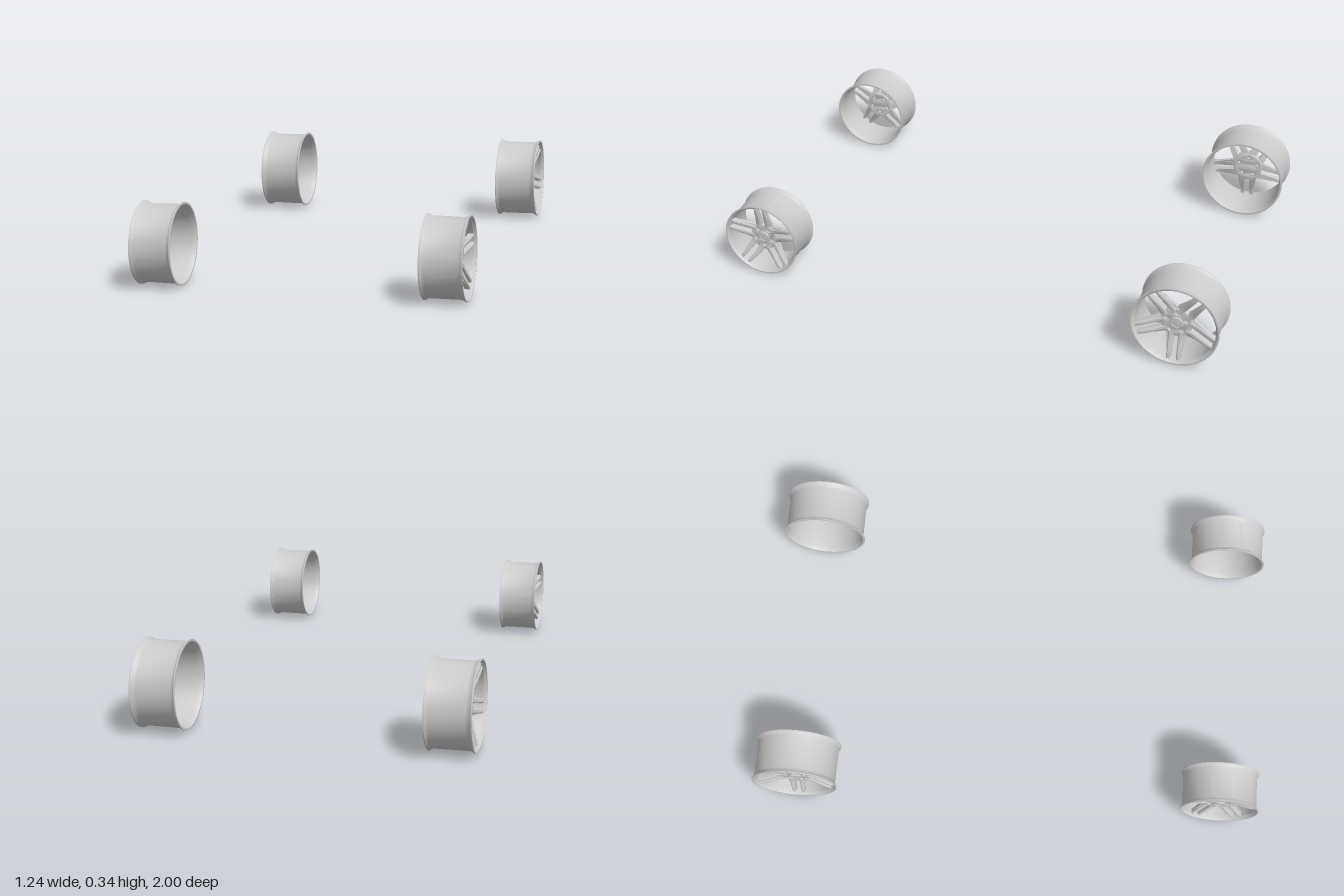
import * as THREE from 'three';
import { toCreasedNormals } from 'three/addons/utils/BufferGeometryUtils.js';

const material = new THREE.MeshStandardMaterial({ color: 0xcccccc });
const lerp = THREE.MathUtils.lerp;

function part(name, geometry, parent) {
  const mesh = new THREE.Mesh(geometry, material);
  mesh.name = name;
  parent.add(mesh);
  return mesh;
}

// Tapered, dished bar along +x; each option is [hub value, rim value]
function barGeometry({ reach, width, offset, top, depth }) {
  const geometry = new THREE.BoxGeometry(1, 1, 1, 12, 4, 1);
  const pos = geometry.attributes.position;
  for (let i = 0; i < pos.count; i++) {
    const u = pos.getX(i) + 0.5;
    const v = pos.getY(i);
    const rise = u * u * (3 - 2 * u); // S-curve from the sunken hub up to the lip
    const crown = Math.abs(v) > 0.4 ? 0.12 : 0; // softened upper edges
    const below = 0.5 - pos.getZ(i);
    const d = lerp(...depth, u);
    pos.setXYZ(i, lerp(...reach, u), lerp(...offset, u) + v * lerp(...width, u),
      lerp(...top, rise) - d * (below + (below < 0.5 ? crown : 0)));
  }
  return toCreasedNormals(geometry, 0.5);
}

// Wheel built around the z axis, outer face towards +z, inner edge at z = 0
function createWheel(R, W, spokeAngle) {
  const wheel = new THREE.Group();

  // Rim barrel with flared lips at both ends
  const profile = [
    [1, 0], [1, 0.004], [0.965, 0.01], [0.95, 0.018],
    [0.945, W - 0.024], [0.955, W - 0.016], [0.985, W - 0.008], [1, W - 0.004], [1, W],
    [0.965, W], [0.945, W - 0.006], [0.915, W - 0.01], [0.905, W - 0.02],
    [0.91, 0.02], [0.935, 0.008], [0.955, 0], [1, 0],
  ].map(([r, z]) => new THREE.Vector2(r * R, z));
  const rim = new THREE.LatheGeometry(profile, 72).rotateX(Math.PI / 2);
  part('rim', toCreasedNormals(rim, 0.55), wheel);

  // Hub disc with five bolt holes
  const hubTop = W - 0.2 * R;
  const hubShape = new THREE.Shape().absarc(0, 0, 0.35 * R, 0, Math.PI * 2);
  const boltAngles = Array.from({ length: 5 }, (_, i) => spokeAngle + Math.PI / 5 + i * Math.PI * 0.4);
  for (const a of boltAngles) {
    hubShape.holes.push(new THREE.Path().absarc(
      0.24 * R * Math.cos(a), 0.24 * R * Math.sin(a), 0.055 * R, 0, Math.PI * 2, true));
  }
  const hub = new THREE.ExtrudeGeometry(hubShape, {
    depth: 0.15 * R, curveSegments: 20, bevelThickness: 0.012 * R, bevelSize: 0.012 * R, bevelSegments: 2,
  }).translate(0, 0, hubTop - 0.162 * R);
  part('hub', toCreasedNormals(hub, 0.6), wheel);

  // Domed centre cap
  const capProfile = [[0.15, -0.02], [0.15, 0.015], [0.135, 0.03], [0.115, 0.03], [0.105, 0.02], [0.06, 0.028], [0, 0.03]]
    .map(([r, z]) => new THREE.Vector2(r * R, z * R));
  const cap = new THREE.LatheGeometry(capProfile, 32).rotateX(Math.PI / 2).translate(0, 0, hubTop);
  part('centreCap', toCreasedNormals(cap, 0.5), wheel);

  // Bolts sunk in the holes and standing out behind the hub
  for (const a of boltAngles) {
    const bolt = part('bolt', toCreasedNormals(
      new THREE.CylinderGeometry(0.038 * R, 0.038 * R, 0.2 * R, 6).rotateX(Math.PI / 2), 0.5), wheel);
    bolt.position.set(0.24 * R * Math.cos(a), 0.24 * R * Math.sin(a), hubTop - 0.13 * R);
  }

  // Five twin spokes, each bar with a lower shoulder on its window side
  for (let i = 0; i < 5; i++) {
    const pair = new THREE.Group();
    pair.name = 'twinSpoke';
    pair.rotation.z = spokeAngle + i * Math.PI * 0.4;
    wheel.add(pair);
    for (const s of [-1, 1]) {
      part('spoke', barGeometry({
        reach: [0.26 * R, 0.92 * R],
        width: [0.13 * R, 0.085 * R],
        offset: [s * 0.115 * R, s * 0.11 * R],
        top: [hubTop + 0.01 * R, W - 0.06 * R],
        depth: [0.15 * R, 0.13 * R],
      }), pair);
      part('spokeShoulder', barGeometry({
        reach: [0.24 * R, 0.72 * R],
        width: [0.1 * R, 0.03 * R],
        offset: [s * 0.185 * R, s * 0.155 * R],
        top: [hubTop - 0.04 * R, W - 0.15 * R],
        depth: [0.1 * R, 0.08 * R],
      }), pair);
    }
  }
  return wheel;
}

export function createModel() {
  const model = new THREE.Group();
  model.name = 'wheelSet';
  const axles = [
    { name: 'front', R: 0.153, W: 0.155, z: 0.847, y: 0.155, spokeAngle: Math.PI / 2 },
    { name: 'rear', R: 0.168, W: 0.172, z: -0.832, y: 0.17, spokeAngle: -Math.PI / 2 },
  ];
  for (const { name, R, W, z, y, spokeAngle } of axles) {
    for (const side of [1, -1]) {
      const wheel = createWheel(R, W, spokeAngle);
      wheel.name = name + (side > 0 ? 'LeftWheel' : 'RightWheel');
      wheel.rotation.y = side * Math.PI / 2;
      wheel.position.set(side * 0.45, y, z);
      model.add(wheel);
    }
  }
  return model;
}
